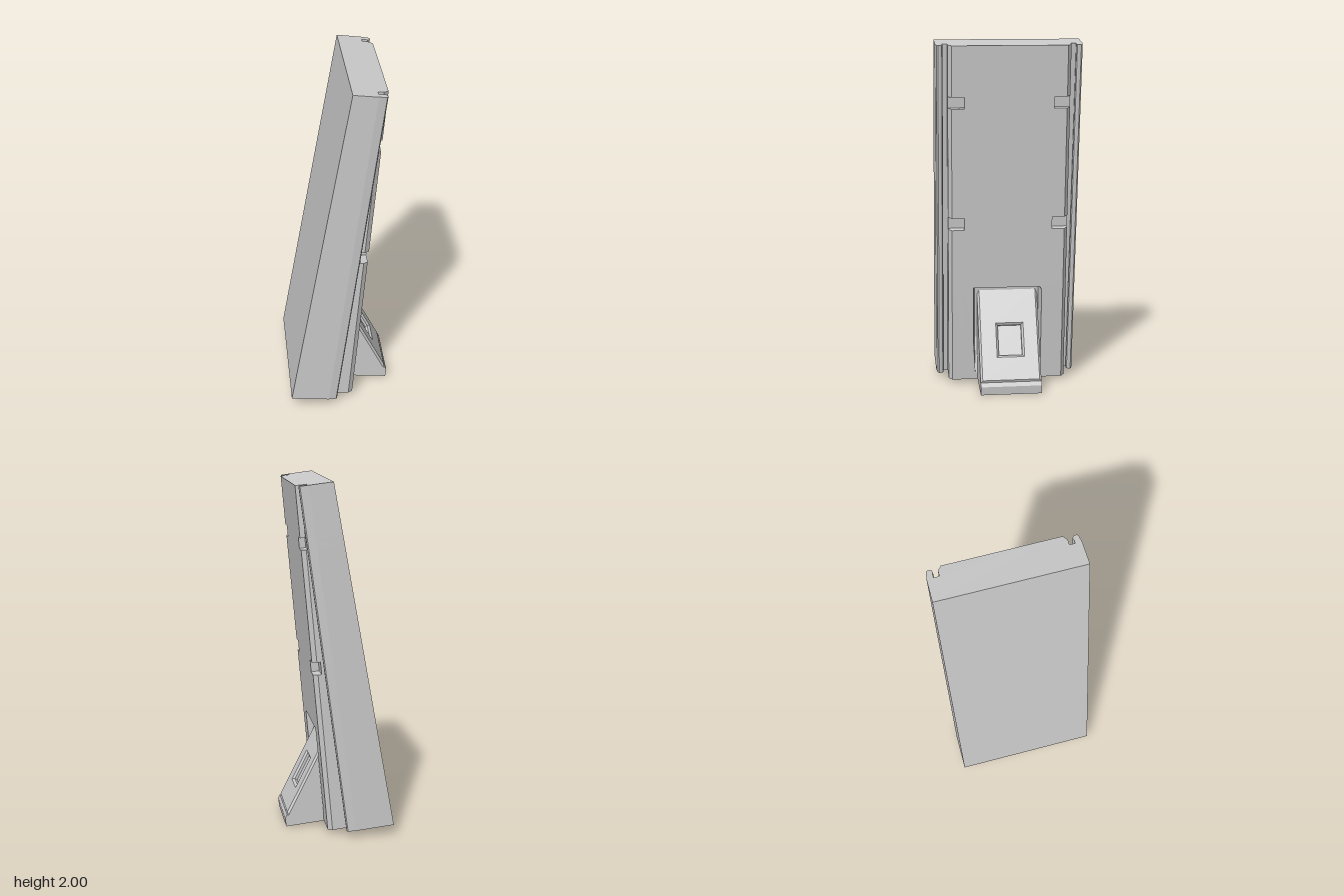
import * as THREE from 'three';

const mix = THREE.MathUtils.lerp;
const material = new THREE.MeshStandardMaterial({ color: 0xcccccc, flatShading: true });

// Cross-section of the leaning body at t (0 = foot, 1 = top),
// with optional edge notch depth and stand pocket depth.
function section(t, notch = 0, pocket = 0) {
  const back = mix(-0.3, 0.045, t);
  const lip = mix(-0.033, 0.23, t);
  const groove = mix(-0.07, 0.182, t);
  const chamfer = mix(0.04, 0.215, t);
  const face = mix(0.065, 0.24, t);
  const half = [
    [face - pocket, 0.186], [face, 0.197],
    [face, 0.25], [face - notch, 0.25], [face - notch, 0.32],
    [notch ? face - notch : chamfer, 0.34],
    [groove, 0.34], [groove, 0.37],
    [lip - 0.025, 0.37], [lip - 0.015, 0.366], [lip - 0.004, 0.371], [lip, 0.379],
    [lip, 0.392], [lip - 0.006, 0.4], [lip - 0.05, 0.407], [back, 0.408],
  ];
  const loop = [...half, ...half.map(([x, z]) => [x, -z]).reverse()];
  return loop.map(([x, z]) =>
    new THREE.Vector3(x, mix(0.033 - 0.106 * x, 2.005 - 0.125 * x, t), z));
}

// Skin a stack of equal loops and close both ends.
function loft(sections) {
  const pos = [];
  const tri = (a, b, c) => {
    const area = b.clone().sub(a).cross(c.clone().sub(a)).length();
    if (area > 1e-9) pos.push(...a.toArray(), ...b.toArray(), ...c.toArray());
  };
  for (let k = 0; k < sections.length - 1; k++) {
    const lo = sections[k], hi = sections[k + 1], n = lo.length;
    for (let i = 0; i < n; i++) {
      const j = (i + 1) % n;
      tri(lo[i], hi[i], hi[j]);
      tri(lo[i], hi[j], lo[j]);
    }
  }
  const cap = (loop, up) => {
    const flat = loop.map((p) => new THREE.Vector2(p.x, p.z));
    for (const [a, b, c] of THREE.ShapeUtils.triangulateShape(flat, [])) {
      const A = loop[a], B = loop[b], C = loop[c];
      const y = (B.z - A.z) * (C.x - A.x) - (B.x - A.x) * (C.z - A.z);
      if ((y > 0) === up) tri(A, B, C);
      else tri(A, C, B);
    }
  };
  cap(sections[0], false);
  cap(sections[sections.length - 1], true);
  const g = new THREE.BufferGeometry();
  g.setAttribute('position', new THREE.Float32BufferAttribute(pos, 3));
  g.computeVertexNormals();
  return g;
}

function shapeOf(points, Type = THREE.Shape) {
  return new Type(points.map(([x, y]) => new THREE.Vector2(x, y)));
}

const rect = (x0, y0, x1, y1) => [[x0, y0], [x1, y0], [x1, y1], [x0, y1]];

function add(group, name, geometry) {
  const mesh = new THREE.Mesh(geometry, material);
  mesh.name = name;
  group.add(mesh);
  return mesh;
}

export function createModel() {
  const model = new THREE.Group();
  model.name = 'leaningPanel';

  // Body: grooved sides, a pocket for the stand and two pairs of notches
  const stack = [
    section(0), section(0.02), section(0.12, 0, 0.07),
    section(0.278, 0, 0.07), section(0.2885),
  ];
  for (const [from, to, depth] of [[0.466, 0.502, 0.045], [0.822, 0.855, 0.035]]) {
    stack.push(section(from), section(from, depth), section(to, depth), section(to));
  }
  stack.push(section(1));
  add(model, 'body', loft(stack));

  // Stand: wedge foot with a chamfered, windowed plate on its slope
  const stand = new THREE.Group();
  stand.name = 'stand';
  model.add(stand);

  const wedge = shapeOf([
    [0.05, 0.0277], [0.285, 0.003], [0.291, 0.052], [0.28, 0.075],
    [0.258, 0.064], [0.015, 0.55], [-0.01, 0.55], [-0.01, 0.25],
  ]);
  const wedgeGeometry = new THREE.ExtrudeGeometry(wedge, { depth: 0.35, bevelEnabled: false });
  wedgeGeometry.translate(0, 0, -0.178);
  add(stand, 'standWedge', wedgeGeometry);

  const bevel = 0.012, depth = 0.015;
  const plate = shapeOf(rect(-0.172, -0.005, 0.178, 0.55));
  plate.holes.push(shapeOf(rect(-0.06, 0.15, 0.075, 0.325).reverse(), THREE.Path));
  const plateGeometry = new THREE.ExtrudeGeometry(plate, {
    depth, bevelEnabled: true, bevelSegments: 1,
    bevelSize: bevel, bevelThickness: bevel, bevelOffset: -bevel,
  });
  const normal = new THREE.Vector3(0.8944, 0.4472, 0);
  const frame = new THREE.Matrix4().makeBasis(
    new THREE.Vector3(0, 0, -1), new THREE.Vector3(-0.4472, 0.8944, 0), normal);
  frame.setPosition(new THREE.Vector3(0.28, 0.08, 0).addScaledVector(normal, -depth - bevel));
  plateGeometry.applyMatrix4(frame);
  add(stand, 'standPlate', plateGeometry);

  return model;
}
